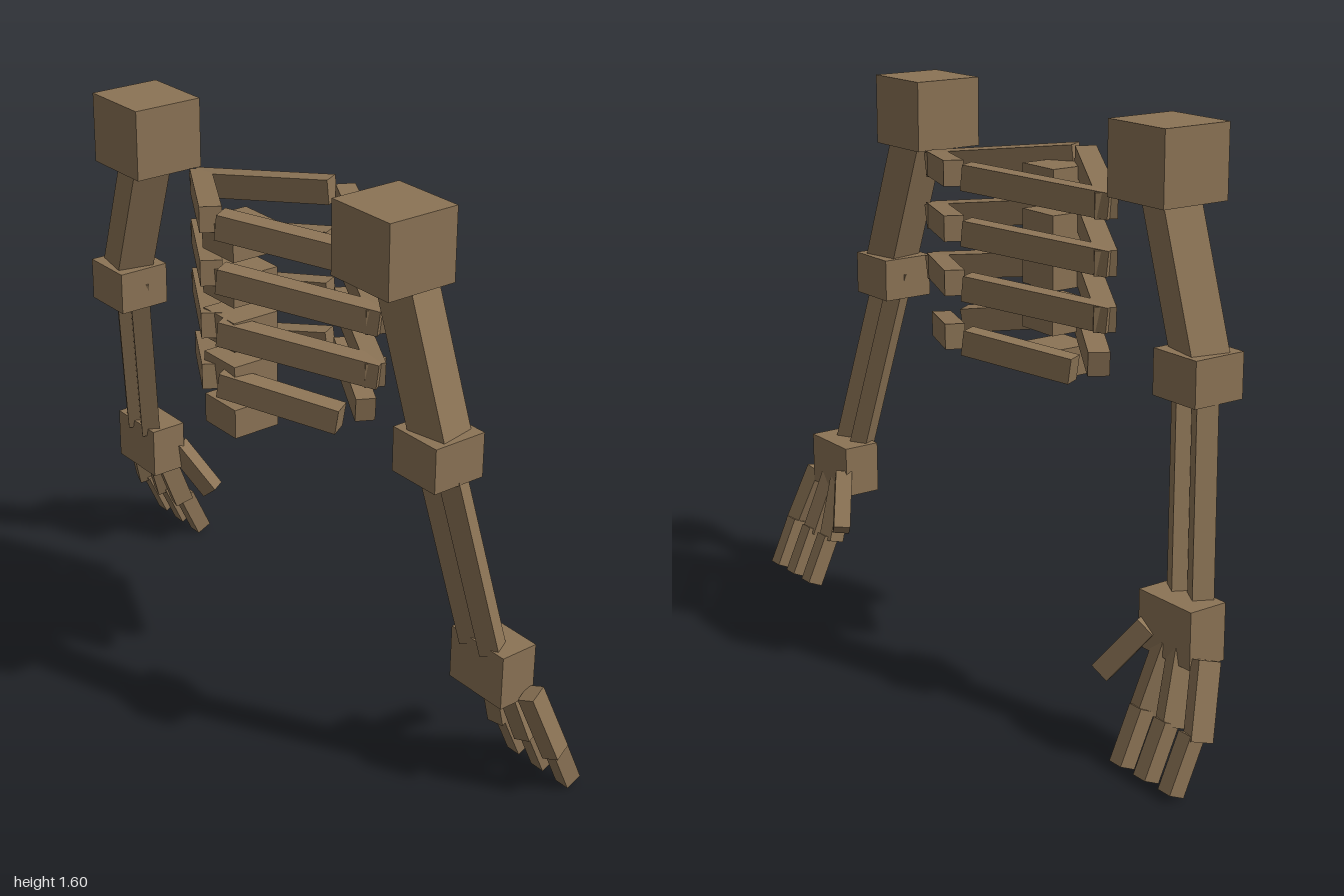
import * as THREE from 'three';

export function createModel() {
  const model = new THREE.Group();
  const bone = new THREE.MeshStandardMaterial({ color: 0x8b7355 });
  bone.name = 'bone brown';
  const V = (x, y, z) => new THREE.Vector3(x, y, z);

  const add = (parent, name, geometry) => {
    const mesh = new THREE.Mesh(geometry, bone);
    mesh.name = name;
    parent.add(mesh);
    return mesh;
  };

  // Upright block given by its limits on each axis
  const block = (parent, name, [x0, x1], [y0, y1], [z0, z1]) =>
    add(parent, name, new THREE.BoxGeometry(Math.abs(x1 - x0), y1 - y0, z1 - z0))
      .position.set((x0 + x1) / 2, (y0 + y1) / 2, (z0 + z1) / 2);

  // Square bar from a to b; its depth side turns towards "facing"
  const bar = (parent, name, a, b, width, depth, facing) => {
    const axis = b.clone().sub(a);
    const mesh = add(parent, name, new THREE.BoxGeometry(width, axis.length(), depth));
    const y = axis.normalize();
    const x = y.clone().cross(facing).normalize();
    const z = x.clone().cross(y);
    mesh.quaternion.setFromRotationMatrix(new THREE.Matrix4().makeBasis(x, y, z));
    mesh.position.copy(a).add(b).multiplyScalar(0.5);
  };

  // Spine
  const spine = new THREE.Group();
  spine.name = 'spine';
  model.add(spine);
  for (let i = 0; i < 5; i++) {
    const y = 0.857 + i * 0.1275;
    block(spine, 'vertebra', [-0.07, 0.07], [y - 0.042, y + 0.042], [0.075, 0.218]);
  }

  for (const s of [1, -1]) {
    const side = s > 0 ? 'left' : 'right';
    const P = (x, y, z) => V(s * x, y, z);
    const turned = (degrees) => {
      const t = THREE.MathUtils.degToRad(degrees);
      return P(Math.sin(t), 0, Math.cos(t));
    };

    // Ribs: two bars meeting at the side, the lowest pair shorter
    const ribs = new THREE.Group();
    ribs.name = side + 'Ribs';
    model.add(ribs);
    const up = V(0, 1, 0);
    for (let i = 0; i < 4; i++) {
      const y = 1.42 - i * 0.15;
      const outer = i === 3 ? 0.31 : 0.404;
      const t = (outer - 0.02) / 0.384;
      bar(ribs, 'ribFront', P(0.02, y, 0.225), P(outer, y - 0.05, 0.225 - 0.235 * t), 0.06, 0.07, up);
      bar(ribs, 'ribBack', P(0.028, y - 0.008, -0.185), P(outer, y - 0.05, -0.185 + 0.195 * t), 0.055, 0.07, up);
    }

    // Arm
    const arm = new THREE.Group();
    arm.name = side + 'Arm';
    model.add(arm);
    block(arm, 'shoulder', [s * 0.43, s * 0.65], [1.4, 1.6], [-0.03, 0.182]);
    bar(arm, 'upperArm', P(0.558, 1.45, 0.062), P(0.718, 1.0, 0.05), 0.11, 0.11, turned(12));
    block(arm, 'elbow', [s * 0.62, s * 0.782], [0.922, 1.046], [-0.028, 0.13]);
    for (const x of [0, 0.078])
      bar(arm, 'forearmBone', P(0.653 + x, 1.0, 0.051), P(0.76 + x, 0.43, -0.043), 0.056, 0.056, turned(28));

    // Hand
    const hand = new THREE.Group();
    hand.name = side + 'Hand';
    arm.add(hand);
    block(hand, 'palm', [s * 0.705, s * 0.903], [0.295, 0.45], [-0.132, -0.018]);
    for (const [root, knuckle, tip] of [[0.785, 0.763, 0.768], [0.838, 0.865, 0.862], [0.927, 0.972, 0.957]]) {
      bar(hand, 'fingerUpper', P(root, 0.325, -0.1), P(knuckle, 0.14, -0.16), 0.048, 0.06, turned(15));
      bar(hand, 'fingerLower', P(tip, 0.155, -0.168), P(tip, 0.014, -0.232), 0.045, 0.05, turned(0));
    }
    bar(hand, 'thumb', P(0.735, 0.36, -0.125), P(0.64, 0.218, -0.195), 0.055, 0.05, turned(-25));
  }
  return model;
}
